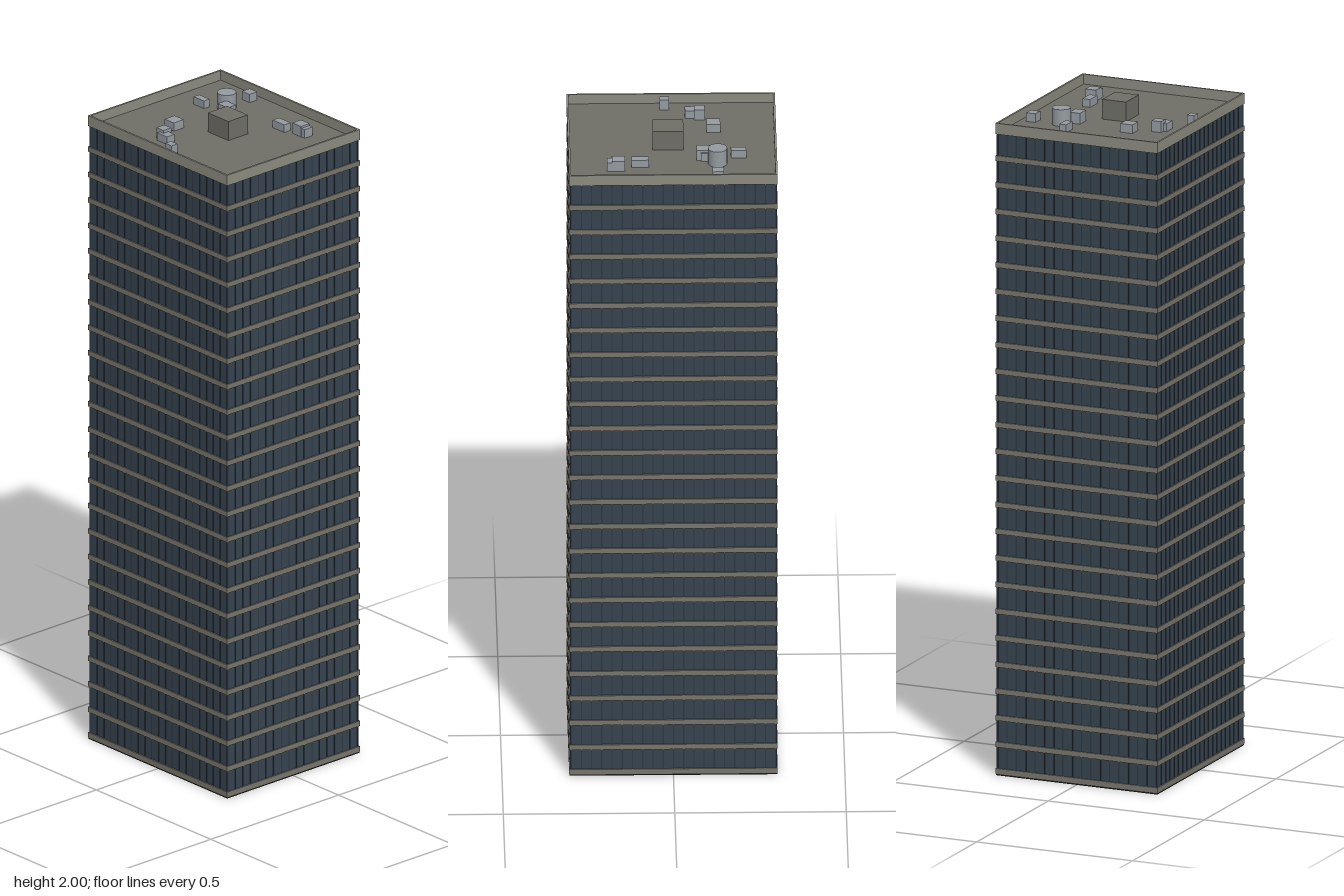
import * as THREE from 'three';
import { mergeGeometries } from 'three/addons/utils/BufferGeometryUtils.js';

const HX = 0.304, HZ = 0.26;              // half width and half depth at the bands
const ROOF = 1.94, PARAPET = 1.97;
const FLOORS = 24, STEP = 0.0805, BAND = 0.016, INSET = 0.004;

const material = (color) => new THREE.MeshStandardMaterial({ color });
const mats = {
  glass: material(0x36434f),
  mullion: material(0x2c3640),
  concrete: material(0x78756b),
  parapet: material(0x8c8b80),
  roof: material(0x6f6e67),
  equipment: material(0x959ba1),
  base: material(0x1c1c1c),
};

// Box geometry given by its limits
function boxGeo(x0, x1, y0, y1, z0, z1) {
  return new THREE.BoxGeometry(x1 - x0, y1 - y0, z1 - z0)
    .translate((x0 + x1) / 2, (y0 + y1) / 2, (z0 + z1) / 2);
}

// Rectangular ring standing from y0 to y1
function ringGeo(hx, hz, ix, iz, y0, y1) {
  const rect = (Kind, a, b) => new Kind([
    new THREE.Vector2(-a, -b), new THREE.Vector2(a, -b),
    new THREE.Vector2(a, b), new THREE.Vector2(-a, b),
  ]);
  const shape = rect(THREE.Shape, hx, hz);
  shape.holes.push(rect(THREE.Path, ix, iz));
  return new THREE.ExtrudeGeometry(shape, { depth: y1 - y0, bevelEnabled: false })
    .rotateX(-Math.PI / 2).translate(0, y0, 0);
}

export function createModel() {
  const group = new THREE.Group();
  group.name = 'officeTower';
  const add = (name, geo, mat) => {
    const mesh = new THREE.Mesh(geo, mat);
    mesh.name = name;
    group.add(mesh);
    return mesh;
  };

  // Glass shaft
  const gx = HX - INSET, gz = HZ - INSET;
  add('glassShaft', boxGeo(-gx, gx, 0.006, ROOF - 0.002, -gz, gz), mats.glass);

  // Slab edge at every floor
  const bands = [];
  for (let i = 0; i < FLOORS; i++) {
    const y = 0.0125 + i * STEP;
    bands.push(boxGeo(-HX, HX, y - BAND / 2, y + BAND / 2, -HZ, HZ));
  }
  add('floorBands', mergeGeometries(bands), mats.concrete);

  // Vertical mullions on the four facades
  const mullions = [], w = 0.0018, out = 0.0015;
  const nx = 20, nz = 17;
  for (const s of [-1, 1]) {
    for (let i = 0; i <= nx; i++) {
      const x = -gx + w + (2 * (gx - w) * i) / nx;
      mullions.push(new THREE.BoxGeometry(2 * w, ROOF - 0.01, out * 2).translate(x, ROOF / 2, s * gz));
    }
    for (let i = 0; i <= nz; i++) {
      const z = -gz + w + (2 * (gz - w) * i) / nz;
      mullions.push(new THREE.BoxGeometry(out * 2, ROOF - 0.01, 2 * w).translate(s * gx, ROOF / 2, z));
    }
  }
  add('mullions', mergeGeometries(mullions), mats.mullion);

  // Underside: dark surround with the core in the middle
  add('baseSurround', ringGeo(HX - 0.001, HZ - 0.001, 0.18, 0.155, 0, 0.006), mats.base);
  add('baseCore', boxGeo(-0.18, 0.18, 0, 0.006, -0.155, 0.155), mats.glass);

  // Roof deck and parapet
  add('roofDeck', boxGeo(-gx, gx, ROOF - 0.002, ROOF, -gz, gz), mats.roof);
  add('parapet', ringGeo(HX, HZ, HX - 0.006, HZ - 0.006, ROOF - 0.003, PARAPET), mats.parapet);

  // Lift penthouse
  add('penthouse', boxGeo(-0.033, 0.057, ROOF, 2, -0.042, 0.034), mats.roof);

  // Rooftop units: x0, x1, z0, z1, top
  const units = [
    [-0.148, -0.115, -0.233, -0.203, 1.966],
    [-0.215, -0.170, -0.096, -0.074, 1.964],
    [-0.113, -0.070, -0.110, -0.077, 1.973],
    [-0.113, -0.083, -0.117, -0.090, 1.966],
    [0.070, 0.120, -0.153, -0.128, 1.964],
    [0.140, 0.178, -0.176, -0.142, 1.973],
    [0.155, 0.192, -0.175, -0.143, 1.967],
    [-0.142, -0.102, 0.066, 0.105, 1.966],
    [-0.098, -0.067, 0.146, 0.177, 1.973],
    [-0.083, -0.040, 0.157, 0.187, 1.964],
    [0.005, 0.033, 0.212, 0.235, 1.972],
  ];
  units.forEach(([x0, x1, z0, z1, top], i) =>
    add('rooftopUnit' + (i + 1), boxGeo(x0, x1, ROOF, top, z0, z1), mats.equipment));

  // Water tank
  add('waterTank', new THREE.CylinderGeometry(0.028, 0.028, 0.05, 24)
    .translate(-0.131, ROOF + 0.025, -0.128), mats.equipment);

  return group;
}
